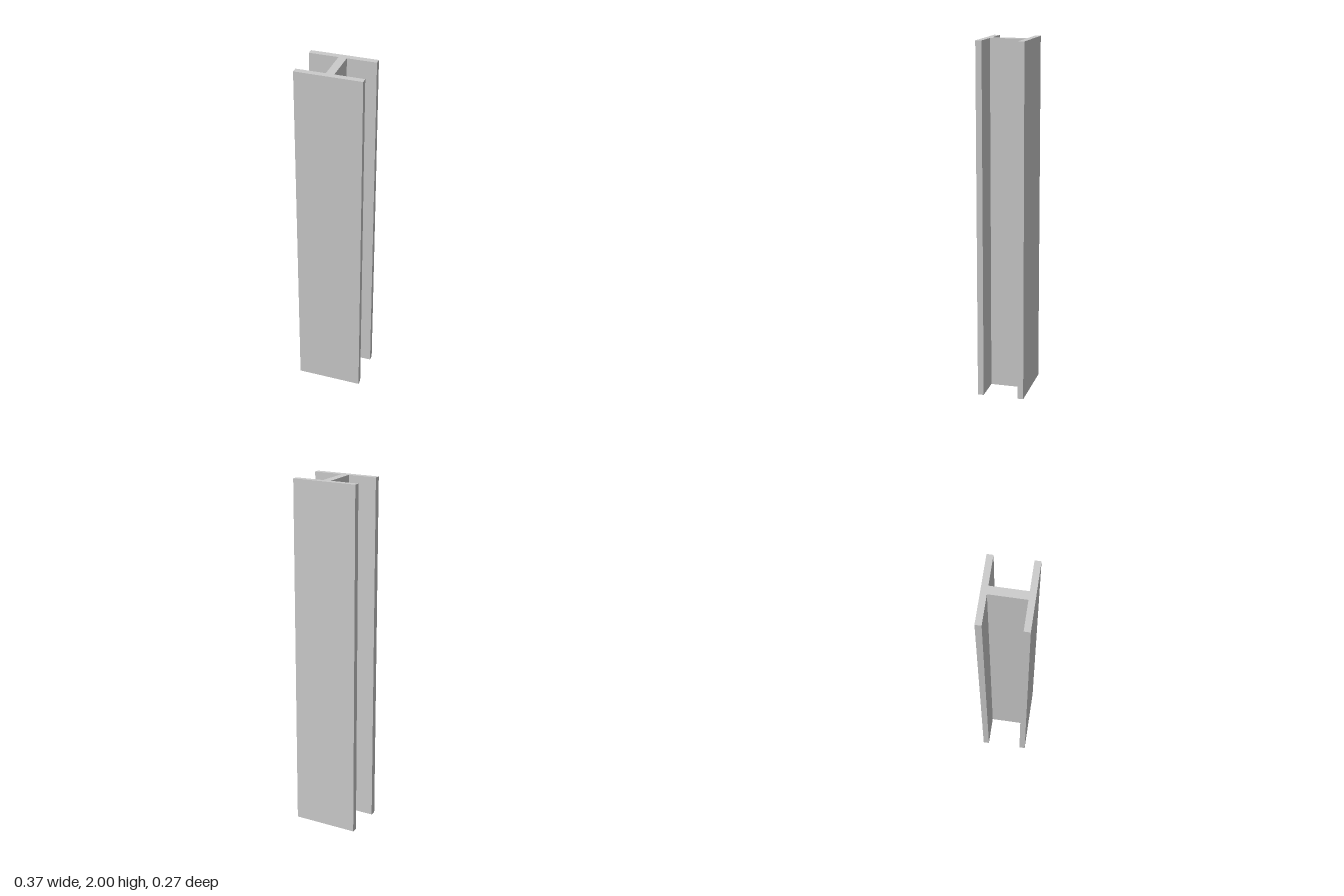
import * as THREE from 'three';

const HEIGHT = 2;
const HALF_WIDTH = 0.185;  // flange half width (x)
const HALF_DEPTH = 0.133;  // outer flange face (z)
const INNER = 0.099;       // inner flange face (z)
const HALF_WEB = 0.0225;   // web half thickness (x)

export function createModel() {
  const group = new THREE.Group();
  group.name = 'steelColumn';

  // One quarter of the I section, mirrored round the four quadrants
  const quarter = [[HALF_WEB, INNER], [HALF_WIDTH, INNER], [HALF_WIDTH, HALF_DEPTH]];
  const mirror = (sx, sy) => quarter.map(([x, y]) => new THREE.Vector2(x * sx, y * sy));
  const section = new THREE.Shape([
    ...mirror(1, 1),
    ...mirror(-1, 1).reverse(),
    ...mirror(-1, -1),
    ...mirror(1, -1).reverse(),
  ]);

  // Section swept upward into a solid beam
  const geometry = new THREE.ExtrudeGeometry(section, { depth: HEIGHT, bevelEnabled: false });
  geometry.rotateX(-Math.PI / 2);
  const beam = new THREE.Mesh(geometry, new THREE.MeshStandardMaterial({ color: 0xcccccc }));
  beam.name = 'iBeam';
  group.add(beam);

  return group;
}
